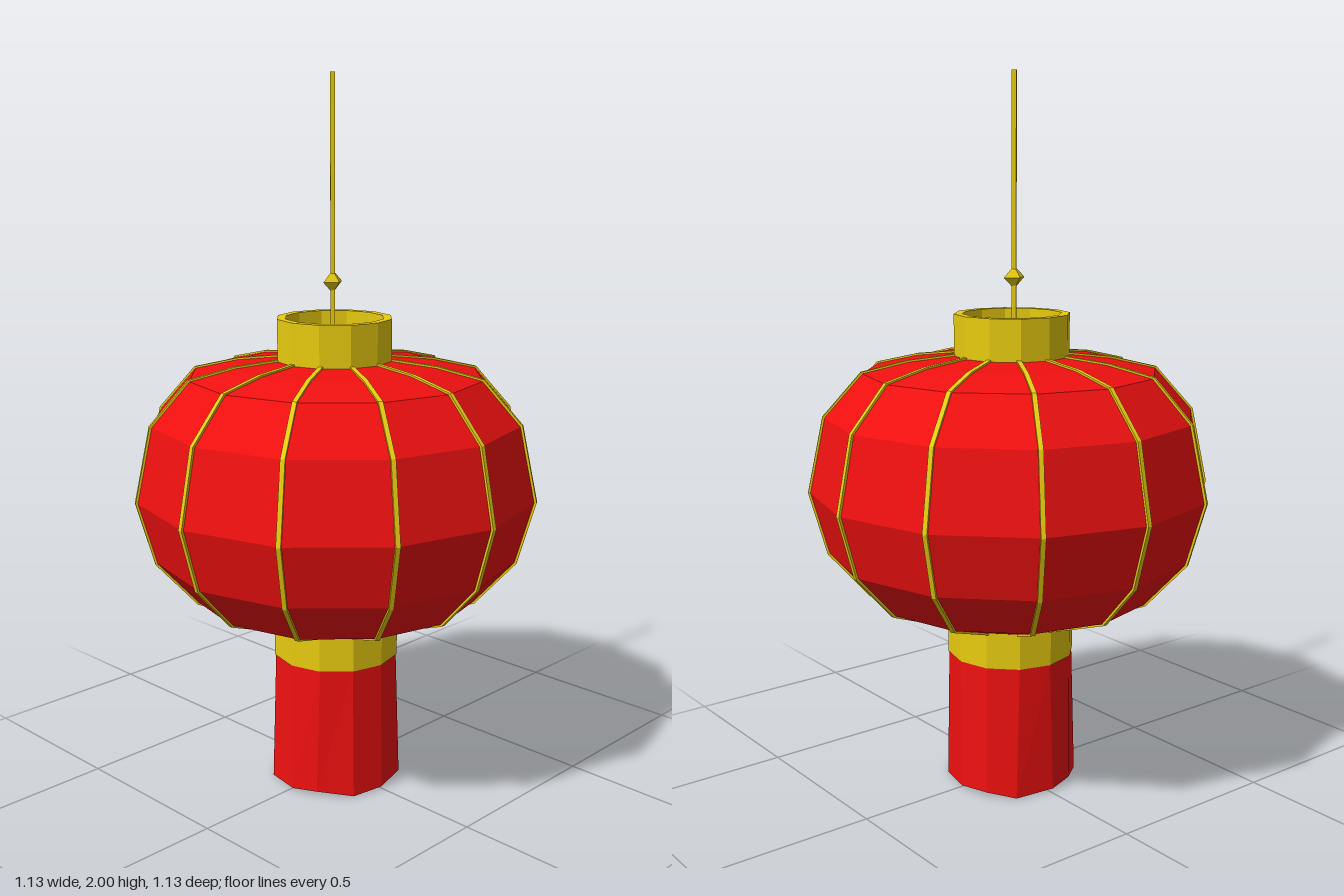
import * as THREE from 'three';

const SIDES = 12;
const material = (color) => new THREE.MeshStandardMaterial({ color, flatShading: true, side: THREE.DoubleSide });
const red = material(0xf01010);
const gold = material(0xe8cc10);

// Radius and height of the paper body, bottom to top
const PROFILE = [
  [0.175, 0.48], [0.4, 0.56], [0.513, 0.685], [0.562, 0.86],
  [0.518, 1.07], [0.412, 1.19], [0.285, 1.22], [0.15, 1.235],
];

function add(parent, name, geometry, mat) {
  const mesh = new THREE.Mesh(geometry, mat);
  mesh.name = name;
  parent.add(mesh);
  return mesh;
}

function lathe(points) {
  return new THREE.LatheGeometry(points.map(([r, y]) => new THREE.Vector2(r, y)), SIDES);
}

// Hollow collar with a rectangular wall section
function collar(outer, inner, y0, y1) {
  return lathe([[outer, y0], [outer, y1], [inner, y1], [inner, y0], [outer, y0]]);
}

// Thin band that follows the body profile
function ribGeometry(width, raise) {
  const shape = new THREE.Shape();
  PROFILE.forEach(([r, y], i) => {
    const a = PROFILE[Math.max(i - 1, 0)];
    const b = PROFILE[Math.min(i + 1, PROFILE.length - 1)];
    const n = new THREE.Vector2(b[1] - a[1], a[0] - b[0]).normalize().multiplyScalar(raise);
    if (i === 0) shape.moveTo(r + n.x, y + n.y);
    else shape.lineTo(r + n.x, y + n.y);
  });
  [...PROFILE].reverse().forEach(([r, y]) => shape.lineTo(r - 0.002, y));
  const geometry = new THREE.ExtrudeGeometry(shape, { depth: width, bevelEnabled: false });
  return geometry.translate(0, 0, -width / 2);
}

// Open fringe with a slight twist and an uneven hem
function fringeGeometry() {
  const geometry = new THREE.CylinderGeometry(0.178, 0.187, 0.37, SIDES, 1, true).translate(0, 0.195, 0);
  const p = geometry.attributes.position;
  for (let i = 0; i < p.count; i++) {
    if (p.getY(i) > 0.1) continue;
    const k = i % (SIDES + 1) % SIDES;
    const angle = (k / SIDES) * Math.PI * 2 + 0.06 * Math.sin(k * 2.3);
    const radius = 0.185 + 0.004 * Math.sin(k * 1.7);
    p.setXYZ(i, radius * Math.sin(angle), 0.007 + 0.007 * Math.sin(k * 2.1), radius * Math.cos(angle));
  }
  geometry.computeVertexNormals();
  return geometry;
}

export function createModel() {
  const model = new THREE.Group();
  model.name = 'lantern';

  add(model, 'paperBody', lathe(PROFILE), red);

  // Ribs on every edge of the body
  const ribs = new THREE.Group();
  ribs.name = 'ribs';
  model.add(ribs);
  const rib = ribGeometry(0.013, 0.005);
  for (let i = 0; i < SIDES; i++) {
    add(ribs, 'rib', rib, gold).rotation.y = (i / SIDES) * Math.PI * 2;
  }

  // Collars above and below the body
  add(model, 'topCollar', collar(0.162, 0.138, 1.225, 1.35), gold).position.x = -0.005;
  add(model, 'bottomCollar', collar(0.181, 0.168, 0.38, 0.485), gold);

  add(model, 'fringe', fringeGeometry(), red);

  // Hanging cord and its bead
  const cord = new THREE.CylinderGeometry(0.009, 0.009, 0.76, 4, 1, true);
  add(model, 'cord', cord, gold).position.set(-0.012, 1.62, 0);
  const bead = add(model, 'bead', new THREE.OctahedronGeometry(1), gold);
  bead.scale.set(0.036, 0.032, 0.026);
  bead.position.set(-0.012, 1.448, 0);

  return model;
}
